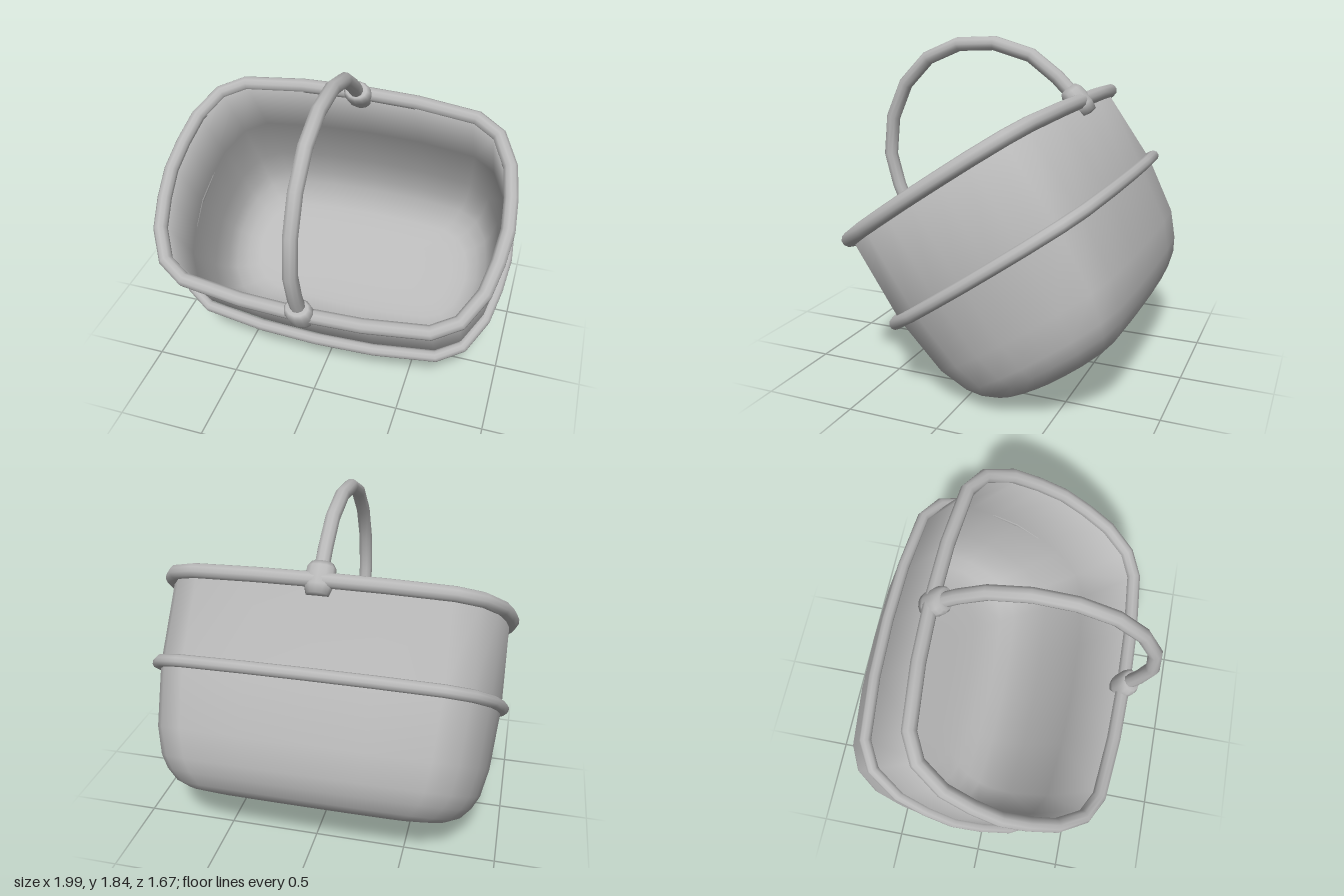
import * as THREE from 'three';

const grey = new THREE.MeshStandardMaterial({ color: 0xb8b8b8 });
grey.name = 'grey';

// Quarter of the rounded-rectangle plan as [x, z], from front middle to side middle
const quarter = [[0, 1], [0.35, 0.985], [0.71, 0.925], [0.85, 0.8], [0.945, 0.54], [0.982, 0.27], [1, 0]];
const half = [...quarter, ...quarter.slice(0, -1).reverse().map(([x, z]) => [x, -z])];
const plan = [...half, ...half.slice(1, -1).reverse().map(([x, z]) => [-x, z])];

const ring = (w, d, y) => plan.map(([x, z]) => new THREE.Vector3(x * w, y, z * d));

// Tube whose segments meet exactly at the given points
function tube(name, points, radius, closed) {
  const curve = new THREE.CatmullRomCurve3(points, closed);
  curve.getPointAt = curve.getPoint;
  curve.getTangentAt = curve.getTangent;
  const segments = closed ? points.length : points.length - 1;
  return part(name, new THREE.TubeGeometry(curve, segments, radius, 10, closed));
}

function part(name, geometry) {
  const mesh = new THREE.Mesh(geometry, grey);
  mesh.name = name;
  return mesh;
}

// Skin over a stack of plan rings; normals on the lip (y = 0) lean upward for a soft edge
function loft(sections) {
  const positions = [], index = [], n = plan.length;
  sections.forEach(([w, d, y]) => ring(w, d, y).forEach(p => positions.push(p.x, p.y, p.z)));
  for (let i = 0; i < sections.length - 1; i++) {
    for (let j = 0; j < n; j++) {
      const k = (j + 1) % n, a = i * n + j, b = i * n + k, c = b + n, d = a + n;
      index.push(a, b, c, a, c, d);
    }
  }
  const g = new THREE.BufferGeometry();
  g.setAttribute('position', new THREE.Float32BufferAttribute(positions, 3));
  g.setIndex(index);
  g.computeVertexNormals();
  const normal = g.attributes.normal;
  for (let i = 0; i < normal.count; i++) {
    if (g.attributes.position.getY(i) === 0) normal.setY(i, 1);
  }
  g.normalizeNormals();
  return g;
}

export function createModel() {
  const model = new THREE.Group();
  model.name = 'basket';

  // Everything is built upright around the rim centre, then tipped forward
  const tilted = new THREE.Group();
  tilted.name = 'tiltedBasket';
  tilted.position.set(0, 1.15, 0.135);
  tilted.rotation.x = 0.597;
  model.add(tilted);

  // Body: outer wall from the base up, then the inner wall back down
  const outer = [
    [0, 0, -1.144], [0.4, 0.15, -1.144], [0.62, 0.25, -1.142], [0.725, 0.345, -1.13], [0.795, 0.413, -1.1],
    [0.85, 0.482, -1.04], [0.888, 0.53, -0.97], [0.922, 0.597, -0.82], [0.95, 0.647, -0.48], [0.945, 0.64, 0],
  ];
  const inner = outer.map(([w, d, y]) =>
    [Math.max(0, w - 0.02), Math.max(0, d - 0.02), Math.min(0, y + 0.018)]);
  inner[inner.length - 1][2] = 0;
  const body = part('body', loft([...outer, ...inner.reverse()]));
  body.position.z = 0.014;
  tilted.add(body);

  // Rim and lower band
  const rim = tube('rim', ring(0.957, 0.654, 0), 0.04, true);
  rim.position.set(0, 0.003, 0.01);
  const band = tube('band', ring(0.959, 0.679, 0), 0.033, true);
  band.position.set(0, -0.483, 0.016);
  band.rotation.x = 0.012;
  tilted.add(rim, band);

  // Arched handle
  const arch = [[0.637, 0.03], [0.607, 0.18], [0.543, 0.36], [0.398, 0.53], [0.21, 0.645]];
  const path = [...arch, [0, 0.687], ...arch.slice().reverse().map(([z, y]) => [-z, y])];
  const handle = tube('handle', path.map(([z, y]) => new THREE.Vector3(0, y, z)), 0.04, false);
  handle.position.z = 0.016;
  tilted.add(handle);

  // Barrel-shaped sockets joining the handle to the rim
  const barrel = [[0, -0.085], [0.06, -0.085], [0.075, -0.04], [0.08, 0.02], [0.076, 0.06], [0.06, 0.085], [0, 0.085]]
    .map(([r, y]) => new THREE.Vector2(r, y));
  for (const side of [1, -1]) {
    const socket = part(side > 0 ? 'frontSocket' : 'backSocket', new THREE.LatheGeometry(barrel, 12));
    socket.scale.z = 0.8;
    socket.position.set(0, 0.01, 0.02 + side * 0.643);
    socket.rotation.x = -side * 0.15;
    tilted.add(socket);
  }
  return model;
}
